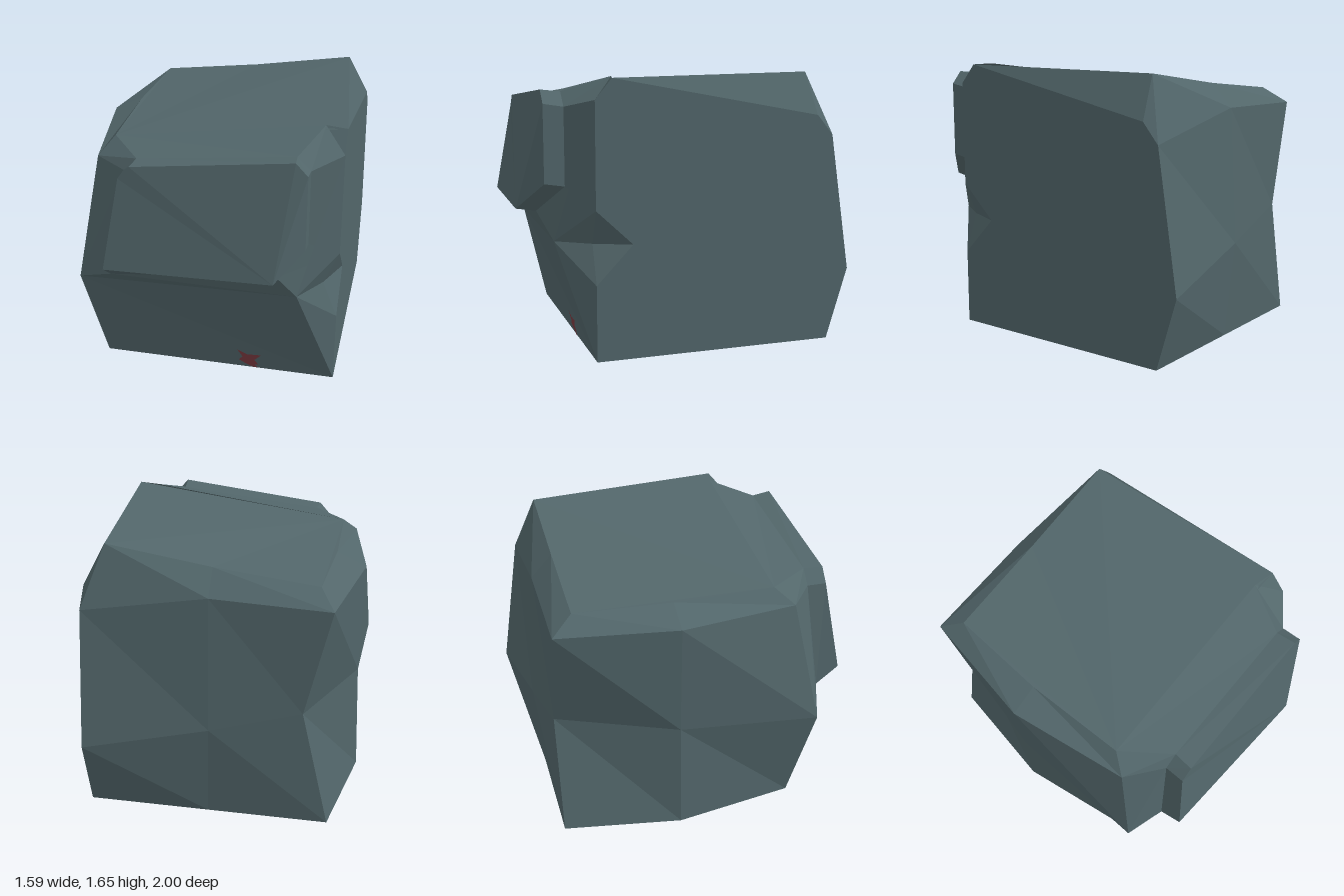
import * as THREE from 'three';

const v = (x, y, z) => new THREE.Vector3(x, y, z);

// Joins successive closed rings (clockwise seen from their open end) with triangles.
function loft(out, rings, open = false) {
  for (let r = 0; r + 1 < rings.length; r++) {
    const a = rings[r], b = rings[r + 1], n = a.length;
    for (let i = 0; i < (open ? n - 1 : n); i++) {
      const j = (i + 1) % n;
      out.push([a[i], b[j], a[j]], [a[i], b[i], b[j]]);
    }
  }
}

// Closes a ring with a fan from its first point.
function cap(out, ring, flip = false) {
  for (let i = 1; i + 1 < ring.length; i++) {
    out.push(flip ? [ring[0], ring[i], ring[i + 1]] : [ring[0], ring[i + 1], ring[i]]);
  }
}

// Faceted mesh from triangles; collapsed ones are dropped.
function facetMesh(name, triangles, material) {
  const points = triangles
    .filter(([a, b, c]) => new THREE.Triangle(a, b, c).getArea() > 1e-6)
    .flat();
  const geometry = new THREE.BufferGeometry().setFromPoints(points);
  geometry.computeVertexNormals();
  const mesh = new THREE.Mesh(geometry, material);
  mesh.name = name;
  return mesh;
}

export function createModel() {
  const stone = new THREE.MeshStandardMaterial({ color: 0x52666a });
  stone.name = 'slate stone';
  const paint = new THREE.MeshStandardMaterial({ color: 0x7d3a40 });
  paint.name = 'dull red paint';

  // Chipped front corner
  const foot = v(0.79, 0, 0.6), chipLow = v(0.79, 0.46, 0.6), chipIn = v(0.7, 0.69, 0.6);
  const chipFront = v(0.57, 0.69, 0.8), chipSide = v(0.79, 0.69, 0.38), chipHigh = v(0.79, 0.9, 0.6);
  const corner = v(0.79, 1.53, 0.6);

  // Ring order: front left, left, back left, back, back right, side, corner, front right
  const base = [v(-0.68, 0, 0.6), v(-0.8, 0, -0.15), v(-0.68, 0, -0.87), v(0.05, 0, -0.87),
    v(0.79, 0, -0.87), foot, foot, foot];
  const lowChip = [...base.slice(0, 5), chipLow, chipLow, foot];
  const waist = [v(-0.79, 0.62, 0.73), v(-0.78, 0.69, -0.15), v(-0.52, 0.73, -0.87), v(0.03, 0.59, -0.92),
    v(0.79, 0.44, -1), chipSide, chipIn, chipFront];
  const highChip = [...waist.slice(0, 6), chipHigh, chipFront];
  const shoulder = [v(-0.68, 1.38, 0.58), v(-0.8, 1.39, -0.15), v(-0.68, 1.38, -0.87), v(0.03, 1.41, -0.87),
    v(0.79, 1.28, -0.87), v(0.79, 1.4, -0.77), corner, corner];
  const backPeak = v(0.66, 1.65, -0.74);
  const crown = [v(-0.6, 1.475, 0.47), v(-0.62, 1.475, -0.15), v(-0.59, 1.475, -0.74), v(0.03, 1.55, -0.74),
    backPeak, backPeak, v(0.79, 1.65, 0.5), v(0.66, 1.65, 0.47)];

  // Main boulder, left open behind the front slab
  const body = [];
  cap(body, base, true);
  loft(body, [base, lowChip, waist]);
  loft(body, [waist, highChip, shoulder, crown], true);
  cap(body, crown);

  // Raised front slab: opening in the body, foot of the slab, slab face
  const opening = [chipFront, waist[0], shoulder[0], crown[0], crown[7], corner, chipHigh];
  const slabFoot = [v(0.46, 0.855, 0.88), v(-0.56, 0.71, 0.81), v(-0.47, 1.38, 0.74), v(-0.39, 1.46, 0.74),
    v(0.54, 1.56, 0.74), v(0.62, 1.48, 0.74), v(0.62, 1.02, 0.74)];
  const slabFace = [v(0.46, 0.875, 1), v(-0.56, 0.82, 0.95), v(-0.47, 1.38, 0.86), v(-0.4, 1.46, 0.86),
    v(0.55, 1.575, 0.86), v(0.62, 1.5, 0.86), v(0.62, 1.04, 0.86)];
  const slab = [];
  loft(slab, [opening, slabFoot, slabFace]);
  cap(slab, slabFace);

  // Small painted fleck on the lower front, laid on the leaning face
  const fleckShape = new THREE.Shape([
    [0.185, 0.148], [0.245, 0.115], [0.335, 0.12], [0.29, 0.07], [0.315, 0.035],
    [0.29, 0.03], [0.31, 0.005], [0.285, 0.005], [0.235, 0.03], [0.19, 0.06], [0.215, 0.09],
  ].map(([x, y]) => new THREE.Vector2(x, y)));
  const fleck = new THREE.Mesh(new THREE.ShapeGeometry(fleckShape), paint);
  fleck.name = 'paintedFleck';
  fleck.position.z = 0.605;
  fleck.rotation.x = Math.atan(0.21);

  const group = new THREE.Group();
  group.name = 'boulder';
  group.add(facetMesh('boulderBody', body, stone), facetMesh('frontSlab', slab, stone), fleck);
  return group;
}
